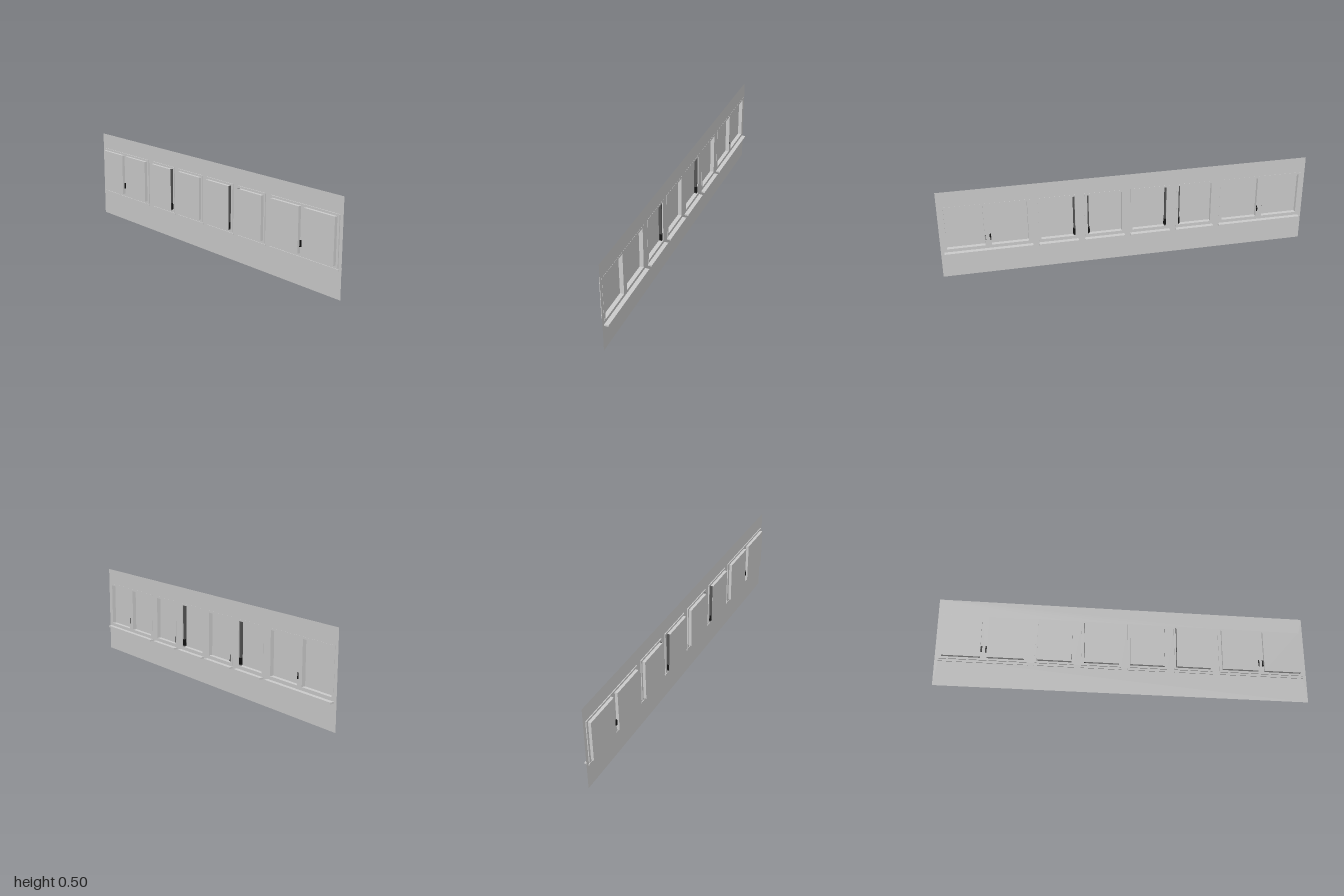
import * as THREE from 'three';

const grey = new THREE.MeshStandardMaterial({ color: 0xcccccc, side: THREE.DoubleSide });
const dark = new THREE.MeshStandardMaterial({ color: 0x555555 });
const black = new THREE.MeshStandardMaterial({ color: 0x111111 });

const FRAME = [0.153, 0.412];   // bottom and top of the frames
const PANE = [0.165, 0.401];    // bottom and top of the panes

// Rectangle in the wall plane; z is mirrored because the plane is turned to face +x
function rect(Type, z0, z1, [y0, y1]) {
  return new Type([[-z1, y0], [-z0, y0], [-z0, y1], [-z1, y1]].map(p => new THREE.Vector2(...p)));
}

function add(parent, name, geometry, material = grey) {
  const mesh = new THREE.Mesh(geometry, material);
  mesh.name = name;
  parent.add(mesh);
  return mesh;
}

// Box given by its limits along each axis
function box([x0, x1], [y0, y1], [z0, z1]) {
  return new THREE.BoxGeometry(x1 - x0, y1 - y0, z1 - z0)
    .translate((x0 + x1) / 2, (y0 + y1) / 2, (z0 + z1) / 2);
}

function makeWindow({ z, panes, handle }) {
  const group = new THREE.Group();
  group.name = 'window';

  // Flat frame with one opening per pane
  const shape = rect(THREE.Shape, z[0] + 0.003, z[1] - 0.003, FRAME);
  panes.forEach(p => shape.holes.push(rect(THREE.Path, p[0], p[1], PANE)));
  const frame = new THREE.ExtrudeGeometry(shape, { depth: 0.006, bevelEnabled: false });
  add(group, 'frame', frame.rotateY(Math.PI / 2).translate(-0.006, 0, 0));

  // Recesses, open towards the front (the first box side is left out)
  panes.forEach(p => {
    const recess = box([-0.022, -0.006], PANE, p);
    recess.setIndex([...recess.index.array].slice(6));
    recess.clearGroups();
    add(group, 'paneRecess', recess);
  });

  add(group, 'sill', box([-0.005, 0.022], [0.138, 0.147], z));

  if (panes.length === 2) {
    // A pair of handles on the middle post
    const middle = (panes[0][1] + panes[1][0]) / 2;
    for (const s of [-1, 1]) {
      const c = middle + s * 0.012;
      add(group, 'handle', box([-0.012, 0], [0.198, 0.232], [c - 0.004, c + 0.004]), black);
    }
  } else {
    // Dark stile along one jamb, with a handle low down
    const side = panes[0][handle > 0 ? 1 : 0];
    const span = (a, b) => [side - handle * a, side - handle * b].sort((m, n) => m - n);
    add(group, 'stile', box([-0.0215, -0.006], PANE, span(-0.0005, 0.008)), dark);
    add(group, 'handle', box([-0.018, -0.004], [0.171, 0.206], span(-0.001, 0.011)), black);
  }
  return group;
}

export function createModel() {
  const model = new THREE.Group();
  model.name = 'windowWall';

  // One half of the wall; the other half mirrors it
  const half = [
    { z: [0.016, 0.235], panes: [[0.03, 0.217]], handle: 1 },
    { z: [0.27, 0.482], panes: [[0.284, 0.468]], handle: -1 },
    { z: [0.515, 0.983], panes: [[0.535, 0.732], [0.766, 0.967]] },
  ];
  const flip = ([a, b]) => [-b, -a];
  const windows = half.flatMap(w => [w, {
    z: flip(w.z), panes: w.panes.map(flip).reverse(), handle: -w.handle,
  }]);

  // Thin wall with an opening for each window
  const wall = rect(THREE.Shape, -1, 1, [0, 0.5]);
  windows.forEach(w => wall.holes.push(rect(THREE.Path, w.z[0] + 0.003, w.z[1] - 0.003, FRAME)));
  add(model, 'wall', new THREE.ShapeGeometry(wall).rotateY(Math.PI / 2).translate(-0.001, 0, 0));

  windows.forEach(w => model.add(makeWindow(w)));
  return model;
}
